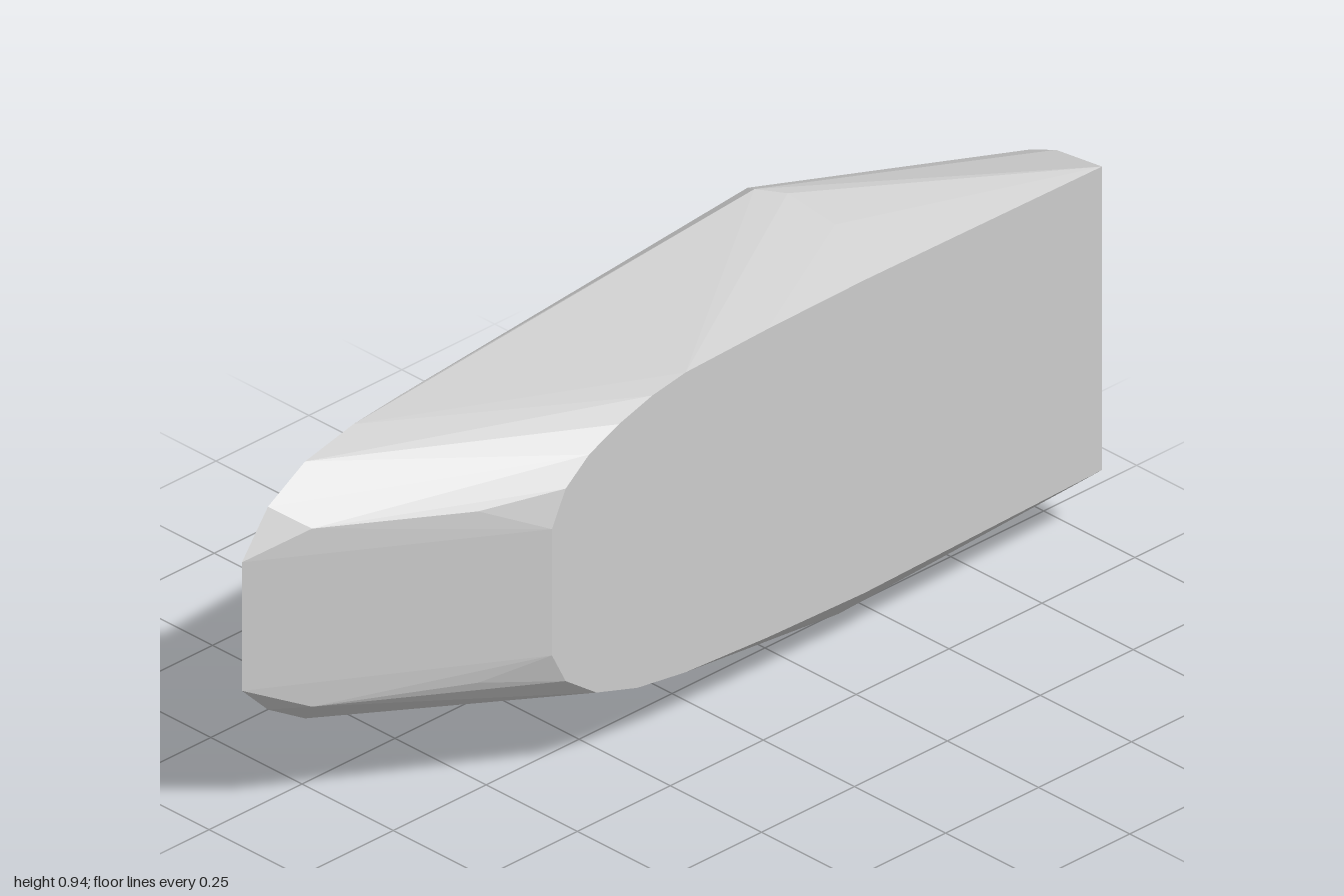
import * as THREE from 'three';
import { ConvexGeometry } from 'three/addons/geometries/ConvexGeometry.js';

const HALF = 0.16;

// Flat side outlines as [z, y]
const leftSide = [
  [1, 0.63], [0.93, 0.725], [0.83, 0.785], [0.7, 0.815], [0.58, 0.828],
  [-0.36, 0.91], [-0.73, 0.795], [-0.79, 0.715],
  [-0.79, 0.25], [-0.73, 0.18], [-0.44, 0.025], [-0.38, 0.018],
  [0.7, 0.18], [0.83, 0.215], [0.93, 0.275], [1, 0.345],
];
const rightSide = [
  [0.48, 0.625], [0.443, 0.7], [0.38, 0.75], [0.3, 0.785], [0.21, 0.812], [0.12, 0.827],
  [-0.1, 0.834], [-0.36, 0.837], [-1, 0.83],
  [-1, 0.157], [-0.36, 0.143], [-0.1, 0.15], [0.12, 0.162], [0.25, 0.18],
  [0.36, 0.214], [0.443, 0.273], [0.48, 0.345],
];

// Corners between the two sides as [x, y, z]
const topRidge = [[-0.105, 0.944, -0.325], [-0.06, 0.935, -0.37], [0.04, 0.895, -0.4]];
const bottomRidge = [[-0.06, 0, -0.37], [0.02, 0.02, -0.38], [0.07, 0.052, -0.38]];
const slantedNose = [
  [-0.09, 0.685, 0.88], [0.08, 0.68, 0.6],
  [-0.09, 0.29, 0.88], [0.08, 0.3, 0.6],
];
const backEnd = [
  [0.034, 0.815, -1], [-0.04, 0.785, -1], [-0.105, 0.768, -0.89],
  [0.034, 0.16, -1], [-0.04, 0.235, -1], [-0.105, 0.21, -0.89],
];

export function createModel() {
  const group = new THREE.Group();
  group.name = 'facetedBlock';

  const corners = [
    ...leftSide.map(([z, y]) => [-HALF, y, z]),
    ...rightSide.map(([z, y]) => [HALF, y, z]),
    ...topRidge, ...bottomRidge, ...slantedNose, ...backEnd,
  ].map((p) => new THREE.Vector3(...p));

  // One solid convex body stretched over all corners
  const body = new THREE.Mesh(
    new ConvexGeometry(corners),
    new THREE.MeshStandardMaterial({ color: 0xcccccc, flatShading: true }),
  );
  body.name = 'body';
  group.add(body);
  return group;
}
